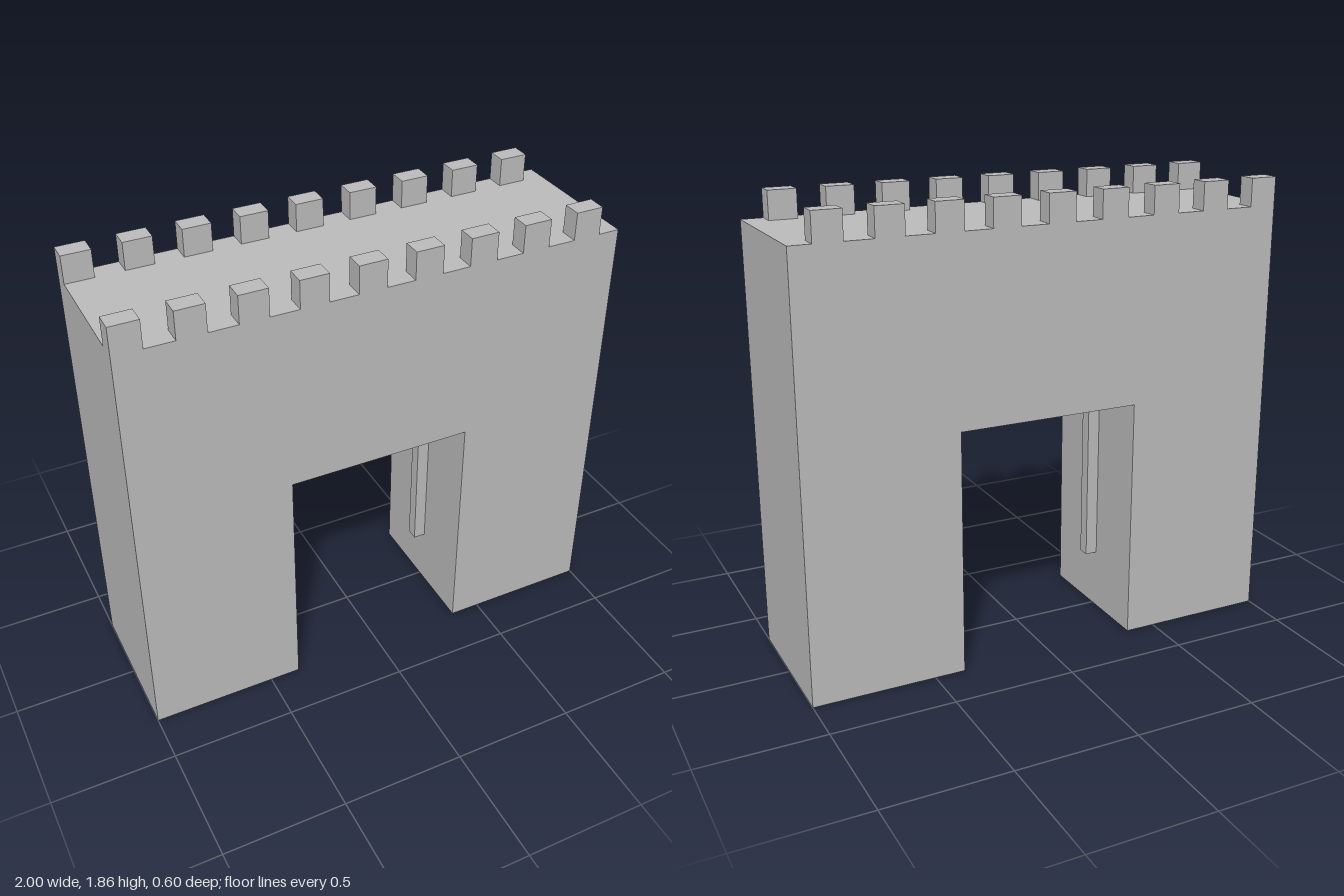
import * as THREE from 'three';

export function createModel() {
  const model = new THREE.Group();
  model.name = 'castleGate';
  const stone = new THREE.MeshStandardMaterial({ color: 0xbcbcbc });
  stone.name = 'grey stone';

  const depth = 0.6, wallTop = 1.75;

  // Gate wall with a square passage through it
  const outline = new THREE.Shape([
    [-1, 0], [-0.375, 0], [-0.375, 1], [0.375, 1],
    [0.375, 0], [1, 0], [1, wallTop], [-1, wallTop],
  ].map(([x, y]) => new THREE.Vector2(x, y)));
  const wallGeometry = new THREE.ExtrudeGeometry(outline, { depth, bevelEnabled: false });
  wallGeometry.translate(0, 0, -depth / 2);
  const wall = new THREE.Mesh(wallGeometry, stone);
  wall.name = 'gateWall';
  model.add(wall);

  // Battlements: nine merlons along the front and back edges, starting at the right end
  const size = 0.1125, merlonDepth = 0.075;
  const merlonGeometry = new THREE.BoxGeometry(size, size, merlonDepth);
  for (const side of [1, -1]) {
    const row = new THREE.Group();
    row.name = side > 0 ? 'frontBattlement' : 'backBattlement';
    for (let i = 0; i < 9; i++) {
      const merlon = new THREE.Mesh(merlonGeometry, stone);
      merlon.name = 'merlon';
      merlon.position.set(-1 + size * (2 * i + 0.5), wallTop + size / 2, side * (depth - merlonDepth) / 2);
      row.add(merlon);
    }
    model.add(row);
  }

  // Upright gate rails on the passage walls
  const railGeometry = new THREE.BoxGeometry(0.05, 0.75, 0.05);
  for (const side of [1, -1]) {
    const rail = new THREE.Mesh(railGeometry, stone);
    rail.name = side > 0 ? 'leftGateRail' : 'rightGateRail';
    rail.position.set(side * 0.35, 0.625, 0);
    model.add(rail);
  }

  return model;
}
